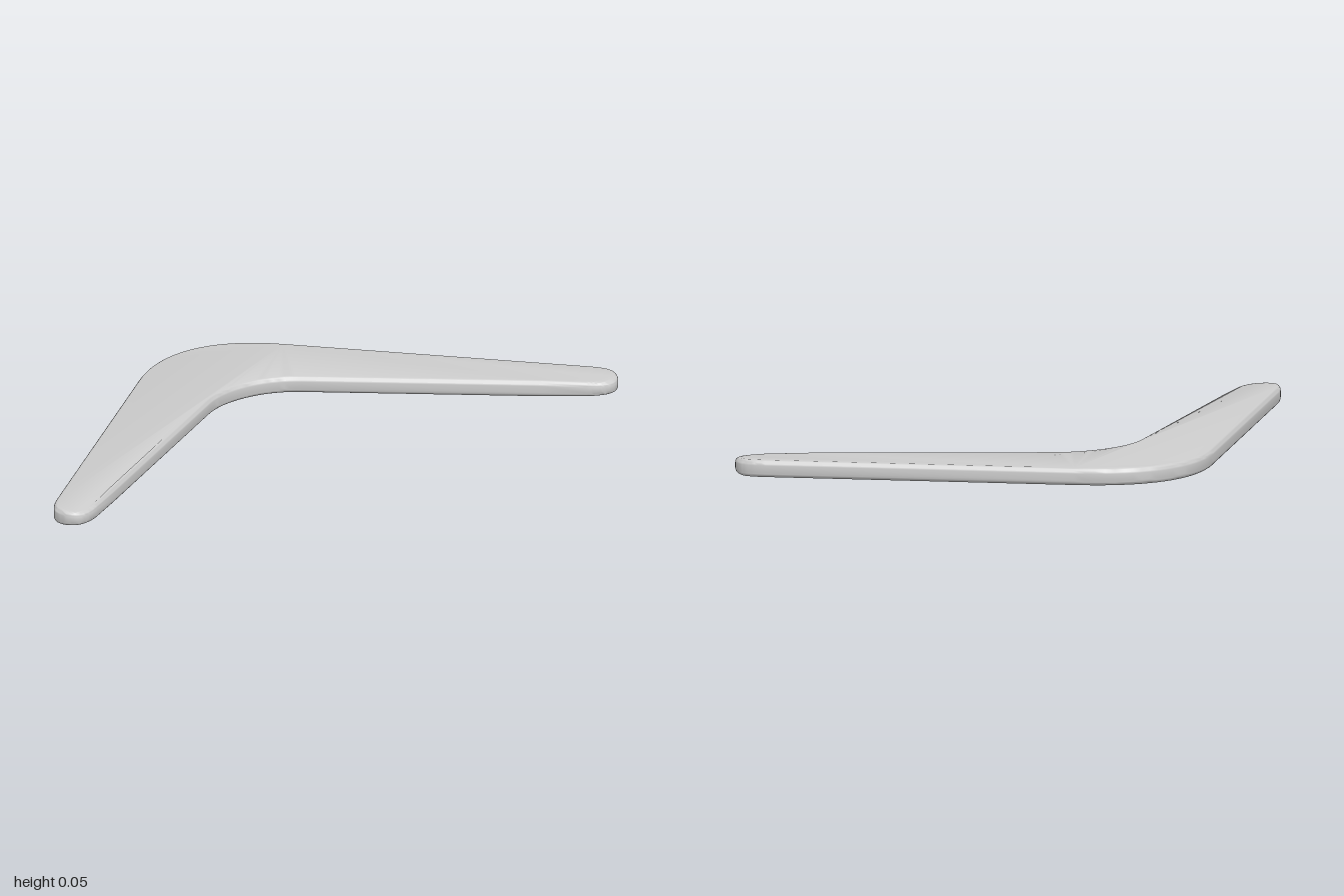
import * as THREE from 'three';
import { toCreasedNormals } from 'three/addons/utils/BufferGeometryUtils.js';

const HEIGHT = 0.053;
const BEVEL = 0.016;

// Outline of the +x arm, from the outer apex round the tip to the inner apex
function armOutline() {
  const path = new THREE.Path();
  path.moveTo(0, -0.445);
  path.quadraticCurveTo(0.135, -0.445, 0.26, -0.33); // outer bend
  path.lineTo(0.955, 0.31);
  path.quadraticCurveTo(1.0, 0.352, 1.0, 0.38); // rounded tip
  path.bezierCurveTo(1.0, 0.415, 0.975, 0.445, 0.94, 0.445);
  path.quadraticCurveTo(0.908, 0.44, 0.875, 0.417);
  path.lineTo(0.764, 0.34);
  path.lineTo(0.165, -0.075);
  path.quadraticCurveTo(0.093, -0.125, 0, -0.125); // inner bend
  return path.getPoints(10);
}

export function createModel() {
  const group = new THREE.Group();
  group.name = 'boomerang';

  // Mirror the arm to complete the outline
  const half = armOutline();
  const mirrored = half.slice(1, -1).reverse().map((p) => new THREE.Vector2(-p.x, p.y));
  const shape = new THREE.Shape([...half, ...mirrored]);

  const geometry = new THREE.ExtrudeGeometry(shape, {
    depth: HEIGHT - 2 * BEVEL,
    bevelEnabled: true,
    bevelThickness: BEVEL,
    bevelSize: 0.013,
    bevelOffset: -0.013,
    bevelSegments: 5,
  });
  geometry.rotateX(Math.PI / 2);
  geometry.translate(0, HEIGHT - BEVEL, 0);

  // Thin the body slightly towards the tips
  const pos = geometry.attributes.position;
  for (let i = 0; i < pos.count; i++) {
    const t = Math.max(0, (pos.getZ(i) - 0.34) / 0.105);
    const mid = HEIGHT / 2;
    pos.setY(i, mid + (pos.getY(i) - mid) * (1 - 0.25 * t * t));
  }

  const body = new THREE.Mesh(
    toCreasedNormals(geometry, 0.7),
    new THREE.MeshStandardMaterial({ color: 0xcccccc })
  );
  body.name = 'body';
  group.add(body);
  return group;
}
